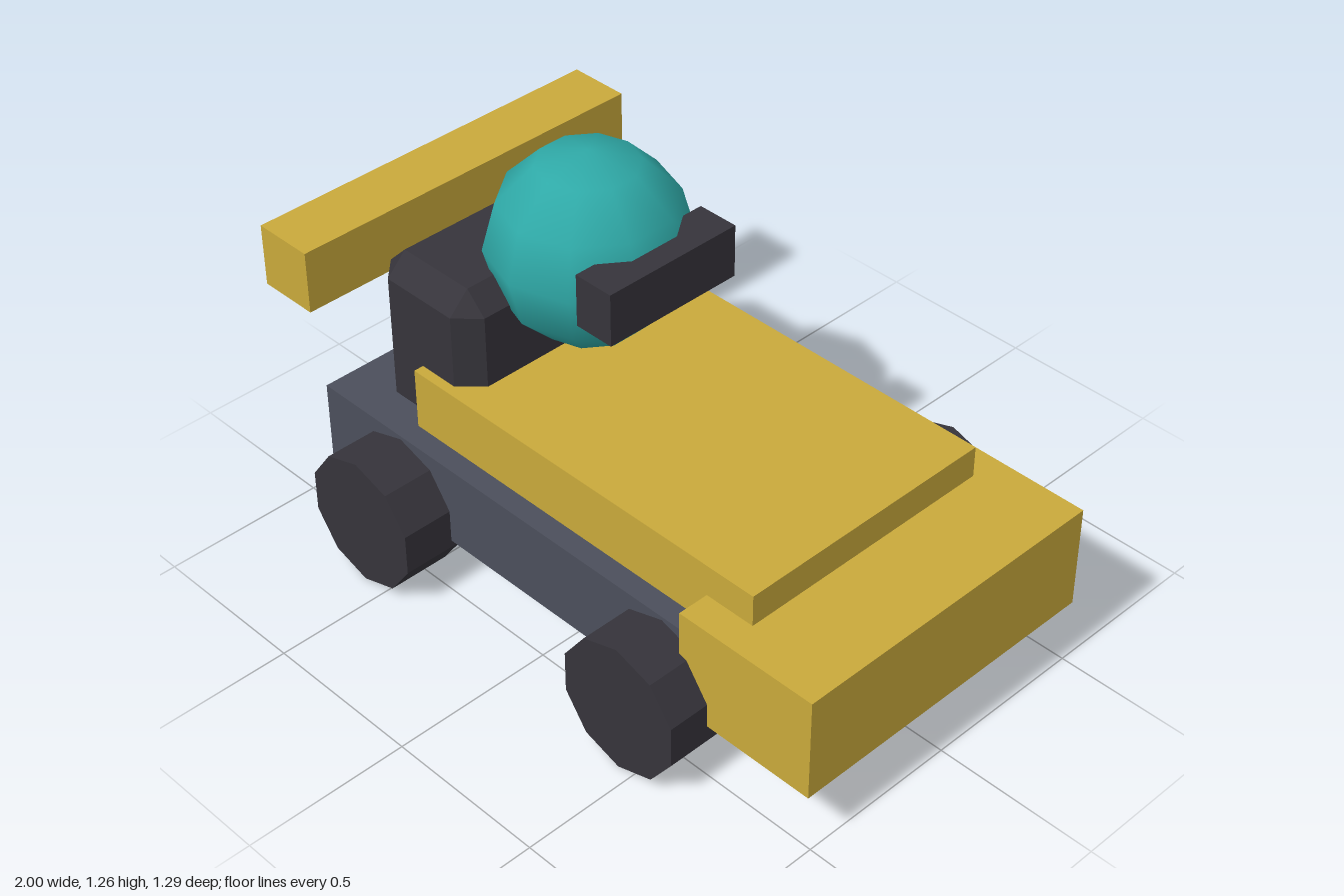
import * as THREE from 'three';
import { ConvexGeometry } from 'three/addons/geometries/ConvexGeometry.js';

function material(name, color, flatShading = false) {
  const m = new THREE.MeshStandardMaterial({ color, flatShading });
  m.name = name;
  return m;
}

// Box with every edge and corner chamfered by c
function chamferBox(w, h, d, c) {
  const points = [];
  for (const x of [-0.5, 0.5]) for (const y of [-0.5, 0.5]) for (const z of [-0.5, 0.5]) {
    for (let axis = 0; axis < 3; axis++) {
      const inset = [0, 1, 2].map((i) => (i === axis ? 0 : 2 * c));
      points.push(new THREE.Vector3(x * (w - inset[0]), y * (h - inset[1]), z * (d - inset[2])));
    }
  }
  return new ConvexGeometry(points);
}

export function createModel() {
  const group = new THREE.Group();
  group.name = 'kart';

  const yellow = material('yellow', 0xc9a93b);
  const slate = material('slate', 0x4b4f5b);
  const dark = material('charcoal', 0x36343b, true);
  const teal = material('teal', 0x2fa9a7);

  function add(name, geometry, mat, x, y, z) {
    const mesh = new THREE.Mesh(geometry, mat);
    mesh.name = name;
    mesh.position.set(x, y, z);
    group.add(mesh);
    return mesh;
  }
  // Box given by its x range, y range and half width in z
  function block(name, mat, x0, x1, y0, y1, halfZ) {
    return add(name, new THREE.BoxGeometry(x1 - x0, y1 - y0, 2 * halfZ), mat,
      (x0 + x1) / 2, (y0 + y1) / 2, 0);
  }

  // Body
  block('chassis', slate, -0.905, 0.775, 0.165, 0.423, 0.485);
  block('bodyPanel', yellow, -0.583, 0.706, 0.419, 0.614, 0.419);
  block('nose', yellow, 0.545, 1, 0.195, 0.517, 0.516);
  block('rearWing', yellow, -1, -0.81, 0.775, 0.967, 0.582);

  // Seat back
  add('seat', chamferBox(0.387, 0.516, 0.776, 0.065), dark, -0.582, 0.648, 0);

  // Driver: head turned so a vertex faces each side
  const head = add('head', new THREE.SphereGeometry(0.29, 10, 6), teal, -0.322, 0.968, 0);
  head.rotation.y = Math.PI / 2;
  block('visor', dark, -0.129, 0, 0.905, 1.067, 0.227);

  // Wheels
  const wheel = new THREE.CylinderGeometry(0.206, 0.206, 0.193, 10);
  wheel.rotateX(Math.PI / 2);
  for (const [end, x] of [['rear', -0.582], ['front', 0.45]]) {
    for (const side of [-1, 1]) {
      add(`${end}Wheel`, wheel, dark, x, 0.206, side * 0.548);
    }
  }
  return group;
}
